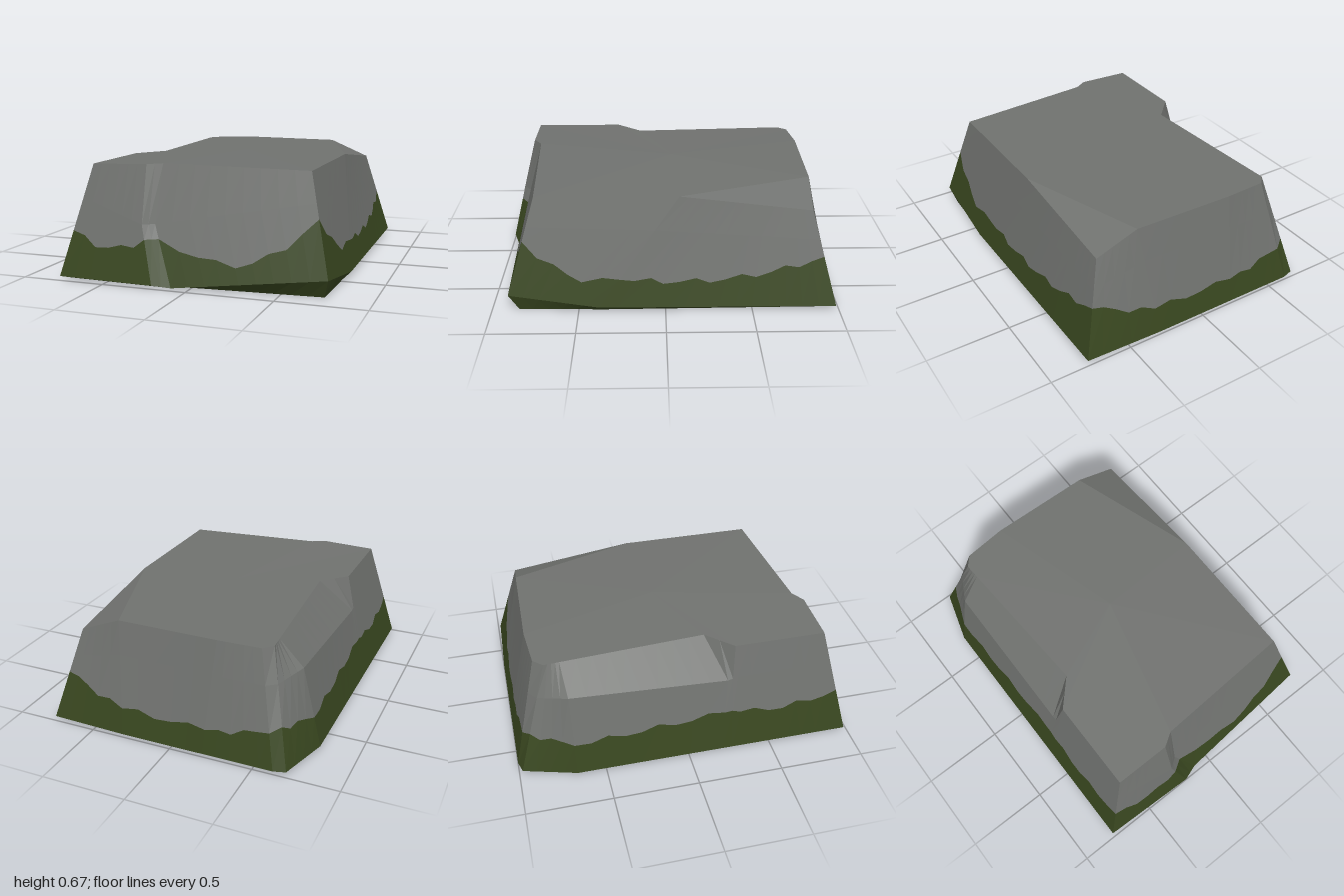
import * as THREE from 'three';

const LOWERED_CORNER = 5;

// One upright crease of the boulder: foot and brim positions seen from above,
// moss height here, and how far the moss sags before the next crease.
function crease(footX, footZ, brimX, brimZ, moss, { sag = 0, footY = 0.02, brimY, shoulder } = {}) {
  const foot = new THREE.Vector3(footX, footY, footZ);
  const brim = new THREE.Vector3(brimX, brimY ?? 0.675 - 0.03 * Math.abs(brimX), brimZ);
  const bend = shoulder ? new THREE.Vector3(...shoulder) : mix(foot, brim, 0.7);
  return { foot, brim, shoulder: bend, moss, sag };
}

// Creases in order: front, +x side, back, -x side
function makeCreases() {
  return [
    crease(-0.78, 0.98, -0.62, 0.84, 0.28, { sag: 0.07 }),
    // Vertical step in the front wall
    crease(-0.2, 1, -0.29, 0.84, 0.26, { shoulder: [-0.285, 0.34, 0.925] }),
    crease(-0.1, 0.965, -0.21, 0.79, 0.26, { sag: 0.18, footY: 0.005, shoulder: [-0.225, 0.34, 0.88] }),
    crease(0.765, 0.9, 0.63, 0.74, 0.41, { sag: 0.08, footY: 0.105 }),
    crease(0.78, 0.38, 0.63, -0.08, 0.19, { sag: 0.06, footY: 0.03 }),
    crease(0.765, -0.985, 0.62, -0.84, 0.3, { brimY: 0.56 }),
    crease(0.3, -1, 0.37, -0.85, 0.17),
    crease(-0.2, -1, -0.24, -0.865, 0.16),
    crease(-0.62, -1, -0.49, -0.845, 0.22),
    crease(-0.69, -0.98, -0.54, -0.79, 0.25),
    // Broad chip out of the upper -x edge
    crease(-0.78, -0.67, -0.534, -0.7, 0.2, { shoulder: [-0.67, 0.5, -0.68] }),
    crease(-0.78, 0.2, -0.48, 0.15, 0.25, { shoulder: [-0.67, 0.45, 0.25] }),
    crease(-0.78, 0.33, -0.62, 0.3, 0.24, { sag: 0.03 }),
  ];
}

function mix(a, b, t) {
  return a.clone().lerp(b, t);
}

// Unshared corners give every face its own flat normal
function facets(name, triangles, material) {
  const geometry = new THREE.BufferGeometry().setFromPoints(triangles);
  geometry.computeVertexNormals();
  const mesh = new THREE.Mesh(geometry, material);
  mesh.name = name;
  return mesh;
}

// Quads between two closed rings
function band(lower, upper) {
  return lower.flatMap((a, i) => {
    const j = (i + 1) % lower.length;
    return [a, lower[j], upper[j], a, upper[j], upper[i]];
  });
}

// Triangles from a centre point to a closed ring
function fan(center, ring) {
  return ring.flatMap((p, i) => [center, p, ring[(i + 1) % ring.length]]);
}

export function createModel() {
  const stone = new THREE.MeshStandardMaterial({ color: 0x70726f });
  stone.name = 'stone grey';
  const green = new THREE.MeshStandardMaterial({ color: 0x38461f });
  green.name = 'moss green';

  // Horizontal rings, from the ground up, with steps for the wavy moss line
  const creases = makeCreases();
  const base = [], foot = [], mossLine = [], shoulder = [], brim = [];
  creases.forEach((a, i) => {
    const b = creases[(i + 1) % creases.length];
    const steps = Math.ceil(a.foot.distanceTo(b.foot) / 0.1);
    for (let k = 0; k < steps; k++) {
      const t = k / steps;
      const f = mix(a.foot, b.foot, t);
      const s = mix(a.shoulder, b.shoulder, t);
      const wobble = k > 0 ? 0.018 * Math.sin(k * 2.1 + i) : 0;
      const height = THREE.MathUtils.lerp(a.moss, b.moss, t) - a.sag * Math.sin(Math.PI * t) + wobble;
      base.push(new THREE.Vector3(f.x * 0.96, 0, f.z * 0.94));
      foot.push(f);
      mossLine.push(mix(f, s, (height - f.y) / (s.y - f.y)));
      shoulder.push(s);
      brim.push(mix(a.brim, b.brim, t));
    }
  });

  const model = new THREE.Group();
  model.name = 'mossyBoulder';

  // Mossy skirt and underside
  model.add(facets('mossSkirt', [...band(base, foot), ...band(foot, mossLine)], green));
  const underside = fan(new THREE.Vector3(0, 0, 0), base.slice().reverse());
  model.add(facets('underside', underside, green));

  // Bare rock walls and chamfers
  model.add(facets('rockWalls', [...band(mossLine, shoulder), ...band(shoulder, brim)], stone));

  // Nearly level top, with one back corner sloping down
  const rim = creases.map((c) => c.brim);
  const level = rim.filter((_, i) => i !== LOWERED_CORNER);
  const top = fan(new THREE.Vector3(0, 0.672, -0.05), level);
  top.push(...rim.slice(LOWERED_CORNER - 1, LOWERED_CORNER + 2));
  model.add(facets('rockTop', top, stone));

  return model;
}
